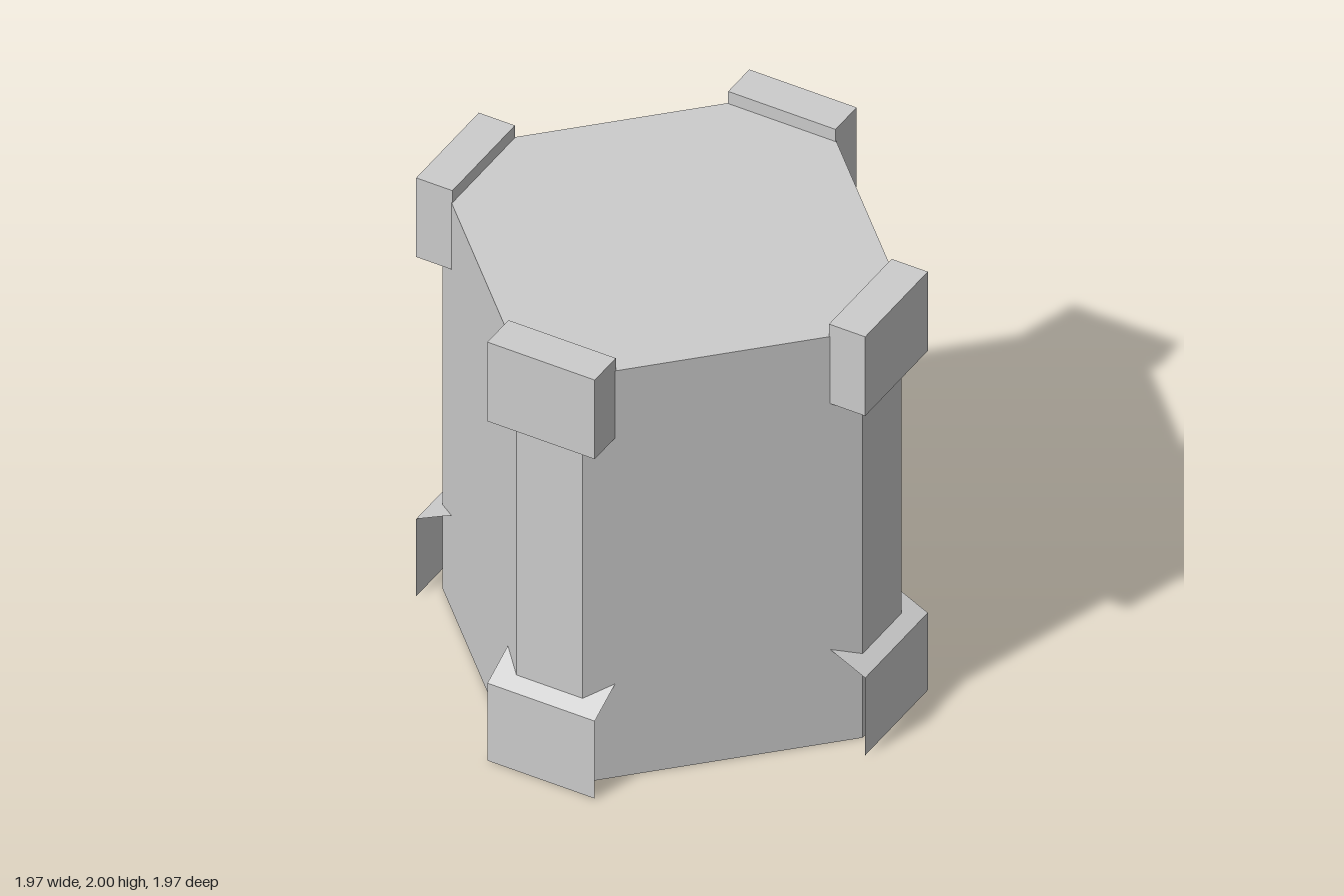
import * as THREE from 'three';

export function createModel() {
  const model = new THREE.Group();
  const grey = new THREE.MeshStandardMaterial({ color: 0xcccccc, side: THREE.DoubleSide });
  grey.name = 'plain grey';

  const R = 0.923, N = 0.1455, BODY_TOP = 1.942; // body reach, half width of narrow face, height
  const HALF = 0.236, OUT = 0.987, INN = 0.828;  // bracket half width, outer and inner depth

  function add(name, geometry, parent = model) {
    const mesh = new THREE.Mesh(geometry, grey);
    mesh.name = name;
    parent.add(mesh);
    return mesh;
  }

  // Flat-shaded surface from four-cornered faces, counter-clockwise from outside
  function quads(faces) {
    const p = [];
    for (const [a, b, c, d] of faces) p.push(...a, ...b, ...c, ...a, ...c, ...d);
    const g = new THREE.BufferGeometry();
    g.setAttribute('position', new THREE.Float32BufferAttribute(p, 3));
    g.computeVertexNormals();
    return g;
  }

  // Eight-sided outline with four narrow and four wide faces
  const outline = [[-N, R], [N, R], [R, N], [R, -N], [N, -R], [-N, -R], [-R, -N], [-R, N]];

  // Body: walls open at the bottom, closed by a flat lid
  add('bodyWalls', quads(outline.map(([x, z], i) => {
    const [u, w] = outline[(i + 1) % outline.length];
    return [[x, 0, z], [u, 0, w], [u, BODY_TOP, w], [x, BODY_TOP, z]];
  })));
  const lid = new THREE.ShapeGeometry(new THREE.Shape(outline.map(([x, z]) => new THREE.Vector2(x, -z))));
  lid.rotateX(-Math.PI / 2);
  add('bodyLid', lid).position.y = BODY_TOP;

  // A block at the top and a sloped guard plate at the foot of each narrow face
  const sides = ['front', 'left', 'back', 'right'];
  sides.forEach((side, i) => {
    const bracket = new THREE.Group();
    bracket.name = side + 'Brackets';
    bracket.rotation.y = i * Math.PI / 2;
    model.add(bracket);

    const block = add('topBlock', new THREE.BoxGeometry(HALF * 2, 0.378, OUT - INN), bracket);
    block.position.set(0, 1.811, (OUT + INN) / 2);

    add('footGuard', quads([
      [[-HALF, 0, OUT], [HALF, 0, OUT], [HALF, 0.37, OUT], [-HALF, 0.37, OUT]],
      [[-HALF, 0.37, OUT], [HALF, 0.37, OUT], [HALF, 0.449, INN], [-HALF, 0.449, INN]],
    ]), bracket);
  });

  return model;
}
